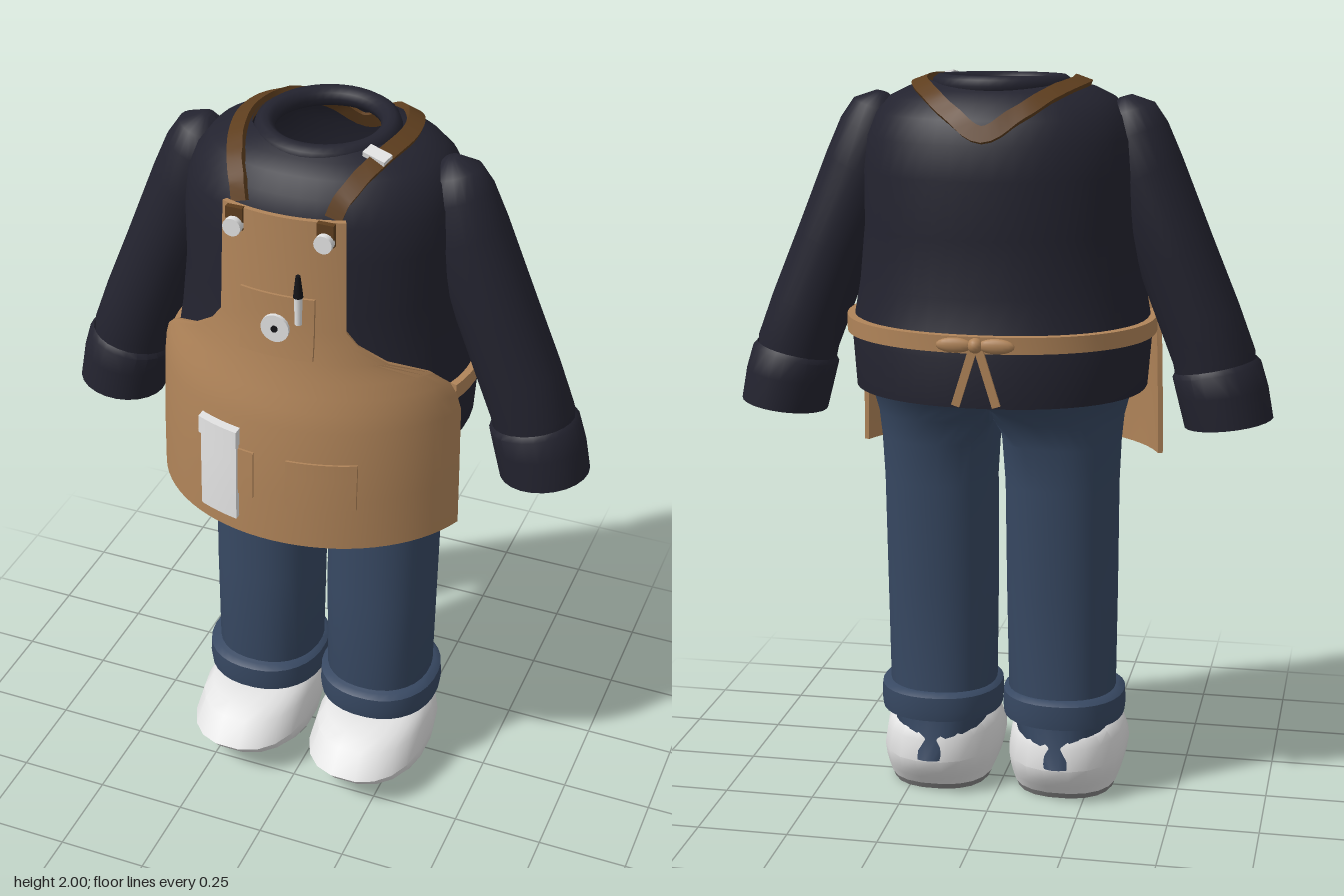
import * as THREE from 'three';
import { toCreasedNormals } from 'three/addons/utils/BufferGeometryUtils.js';

const mat = (name, color, side = THREE.FrontSide) => {
  const m = new THREE.MeshStandardMaterial({ color, side });
  m.name = name;
  return m;
};
const V = (x, y, z) => new THREE.Vector3(x, y, z);
const spow = (v, p) => Math.sign(v) * Math.abs(v) ** p;

// Skin a stack of closed rings; caps join opposite points of the end rings
function loft(rings, { cap0 = true, cap1 = true, crease = 0.7 } = {}) {
  const n = rings[0].length, last = (rings.length - 1) * n, idx = [];
  const pts = rings.flat();
  for (let r = 0; r < rings.length - 1; r++) {
    for (let j = 0; j < n; j++) {
      const k = (j + 1) % n, a = r * n, b = a + n;
      idx.push(a + j, b + j, a + k, a + k, b + j, b + k);
    }
  }
  for (let i = 0; i < n / 2 - 1; i++) {
    const q = [i, i + 1, n - 1 - i, i + 1, n - 2 - i, n - 1 - i];
    if (cap0) idx.push(...q);
    if (cap1) idx.push(...q.reverse().map(v => v + last));
  }
  // Turn the faces outward
  const mid = pts.reduce((s, p) => s.add(p), V(0, 0, 0)).divideScalar(pts.length);
  let volume = 0;
  for (let i = 0; i < idx.length; i += 3) {
    const [a, b, c] = [0, 1, 2].map(k => pts[idx[i + k]].clone().sub(mid));
    volume += a.dot(b.cross(c));
  }
  if (volume < 0) idx.reverse();
  const g = new THREE.BufferGeometry().setFromPoints(pts);
  g.setIndex(idx);
  return toCreasedNormals(g, crease);
}

// Horizontal superellipse ring from its x and z limits
function ring(y, x0, x1, zf, zb, n = 2.2, seg = 32) {
  return Array.from({ length: seg }, (_, i) => {
    const t = (i + 0.5) / seg * Math.PI * 2;
    return V((x0 + x1) / 2 + (x1 - x0) / 2 * spow(Math.cos(t), 2 / n), y,
      (zf + zb) / 2 + (zf - zb) / 2 * spow(Math.sin(t), 2 / n));
  });
}

// Interpolate a table whose first column is y
function sample(table, y) {
  let i = 0;
  while (i < table.length - 2 && table[i + 1][0] < y) i++;
  const f = (y - table[i][0]) / (table[i + 1][0] - table[i][0]);
  return table[i].map((v, k) => v + (table[i + 1][k] - v) * f);
}

// y, half width, front z, back z
const TORSO = [[1.17, 0.395, 0.32, -0.36], [1.3, 0.405, 0.325, -0.362], [1.36, 0.4, 0.315, -0.345],
  [1.45, 0.385, 0.3, -0.325], [1.6, 0.37, 0.287, -0.32], [1.75, 0.37, 0.285, -0.32],
  [1.84, 0.36, 0.272, -0.305], [1.9, 0.335, 0.25, -0.28], [1.94, 0.3, 0.215, -0.245],
  [1.965, 0.25, 0.175, -0.21], [1.982, 0.19, 0.14, -0.17]];
// y, half width of the cloth, ellipse half width, ellipse depth
const APRON = [[0.95, 0.427, 0.45, 0.383], [1.1, 0.425, 0.447, 0.381], [1.3, 0.42, 0.44, 0.368],
  [1.35, 0.41, 0.435, 0.358], [1.39, 0.395, 0.428, 0.348], [1.43, 0.36, 0.415, 0.338],
  [1.48, 0.27, 0.405, 0.328], [1.53, 0.2, 0.397, 0.32], [1.57, 0.17, 0.39, 0.316], [1.87, 0.163, 0.37, 0.302]];

function torsoF(x, y, z) {
  const [, a, zf, zb] = sample(TORSO, y);
  return Math.abs(x / a) ** 2.2 + Math.abs((z - (zf + zb) / 2) / ((zf - zb) / 2)) ** 2.2 - 1;
}
function torsoTop(x, z) {
  let lo = 1.7, hi = 1.982;
  for (let i = 0; i < 24; i++) {
    const m = (lo + hi) / 2;
    if (torsoF(x, m, z) < 0) lo = m; else hi = m;
  }
  return lo;
}
const apronZ = (x, y) => {
  const [, , a, b] = sample(APRON, y);
  return b * Math.sqrt(1 - (x / a) ** 2);
};

// Curved panel lying on the apron
function panel(x0, x1, y0, y1, thick) {
  const xs = Array.from({ length: 9 }, (_, i) => x0 + (x1 - x0) * i / 8);
  return loft([0, 1 / 3, 2 / 3, 1].map(f => {
    const y = y0 + (y1 - y0) * f;
    const row = d => xs.map(x => V(x, y, apronZ(x, y) + d));
    return [...row(thick), ...row(-0.004).reverse()];
  }));
}

export function createModel() {
  const group = new THREE.Group();
  const navy = mat('navy knit', 0x23232f, THREE.DoubleSide), denim = mat('blue denim', 0x374862);
  const tan = mat('tan canvas', 0xb08459), brown = mat('brown leather', 0x5e3e1e);
  const white = mat('white', 0xe2e2e2), grey = mat('grey rubber', 0x858585), black = mat('black', 0x131317);
  const add = (name, geo, m, x = 0, y = 0, z = 0) => {
    const mesh = new THREE.Mesh(geo, m);
    mesh.name = name;
    mesh.position.set(x, y, z);
    group.add(mesh);
    return mesh;
  };

  // Sweater body, open at neck and hem
  add('sweater', loft(TORSO.map(([y, a, zf, zb]) => ring(y, -a, a, zf, zb, 2.2, 48)),
    { cap0: false, cap1: false }), navy);
  const collar = add('collar', new THREE.TorusGeometry(0.16, 0.027, 10, 40), navy, 0, 1.972, -0.018);
  collar.rotation.x = Math.PI / 2 + 0.04;

  for (const s of [-1, 1]) {
    const side = s > 0 ? 'left' : 'right';

    // Sleeve rings span an inner and an outer point
    const cross = ([xi, yi, xo, yo, hw]) => Array.from({ length: 24 }, (_, i) => {
      const t = i / 24 * Math.PI * 2, f = (1 + Math.cos(t)) / 2;
      return V(s * (xi + (xo - xi) * f), yi + (yo - yi) * f, -0.015 + hw * Math.sin(t));
    });
    add(side + 'Sleeve', loft([[0.48, 1.17, 0.69, 1.2, 0.1], [0.465, 1.24, 0.685, 1.28, 0.105],
      [0.43, 1.33, 0.64, 1.4, 0.105], [0.365, 1.5, 0.565, 1.58, 0.105], [0.28, 1.7, 0.48, 1.79, 0.102],
      [0.26, 1.82, 0.44, 1.88, 0.088], [0.27, 1.89, 0.405, 1.93, 0.065],
      [0.31, 1.94, 0.345, 1.95, 0.02]].map(cross), { cap0: false }), navy);
    add(side + 'SleeveCuff', loft([[0.525, 1.1, 0.71, 1.13, 0.095], [0.515, 1.067, 0.722, 1.096, 0.105],
      [0.5, 1.066, 0.738, 1.098, 0.118], [0.478, 1.15, 0.722, 1.185, 0.118], [0.465, 1.2, 0.702, 1.25, 0.115],
      [0.472, 1.215, 0.69, 1.262, 0.104]].map(cross), { cap0: false, cap1: false }), navy);

    // Trouser leg; upper rings are cut flat on the centre line
    const leg = [[0.11, 0.1, 0.26, 0.1, -0.194], [0.17, 0.05, 0.3, 0.13, -0.172], [0.3, 0.02, 0.32, 0.145, -0.156],
      [0.6, 0.015, 0.323, 0.14, -0.165], [0.9, 0.013, 0.325, 0.125, -0.175], [1.02, 0.005, 0.33, 0.125, -0.185],
      [1.09, -0.06, 0.337, 0.14, -0.205], [1.14, -0.2, 0.35, 0.18, -0.245], [1.19, -0.34, 0.37, 0.24, -0.3],
      [1.26, -0.37, 0.375, 0.26, -0.32]];
    add(side + 'TrouserLeg', loft(leg.map(([y, ...r]) => ring(y, ...r)
      .map(p => V(s * Math.max(p.x, 0), p.y, p.z)))), denim);
    add(side + 'TrouserCuff', loft([[0.215, 0.025], [0.222, 0.003], [0.25, 0], [0.29, 0.002], [0.302, 0.018]]
      .map(([y, d]) => ring(y, 0.003 + d, 0.347 - d, 0.178 - d, -0.178 + d)
        .map(p => V(s * p.x, p.y, p.z)))), denim);

    // Shoe with a flat sole
    const shoe = ([y, hw, zf, zb]) => ring(y, s * 0.18 - hw, s * 0.18 + hw, zf, zb, 2.4, 20);
    add(side + 'Shoe', loft([[0.018, 0.145, 0.18, -0.135], [0.045, 0.156, 0.245, -0.155], [0.07, 0.162, 0.292, -0.175],
      [0.105, 0.167, 0.322, -0.188], [0.165, 0.156, 0.265, -0.175], [0.19, 0.14, 0.22, -0.165],
      [0.204, 0.115, 0.165, -0.145]].map(shoe), { crease: 0.6 }), white);
    add(side + 'Sole', loft([[0, 0.137, 0.165, -0.125], [0.02, 0.145, 0.18, -0.135]].map(shoe)), grey);

    // Bib fasteners
    const bx = s * 0.12, bz = apronZ(bx, 1.825);
    add(side + 'StrapTab', new THREE.BoxGeometry(0.045, 0.06, 0.016), brown, bx, 1.842, bz + 0.006);
    add(side + 'BibButton', new THREE.CylinderGeometry(0.024, 0.024, 0.022, 20).rotateX(Math.PI / 2),
      white, bx, 1.825, bz + 0.02);

    // Hip pocket
    add(side + 'HipPocket', panel(...(s > 0 ? [0.04, 0.22] : [-0.23, -0.05]), 1.075, 1.21, 0.006), tan);

    // Bow loop and tail
    const loop = add(side + 'BowLoop', new THREE.SphereGeometry(1, 16, 10), tan, s * 0.055, 1.342, -0.39);
    loop.scale.set(0.048, 0.02, 0.013);
    const tail = add(side + 'BowTail', new THREE.BoxGeometry(0.022, 0.16, 0.008), tan, s * 0.03, 1.258, -0.383);
    tail.rotation.z = s * 0.3;
  }
  add('bowKnot', new THREE.SphereGeometry(0.02, 14, 10), tan, 0, 1.342, -0.388);

  // Apron cloth
  add('apron', loft(APRON.map(([y, w, a, b]) => {
    const half = Math.asin(w / a);
    const row = d => Array.from({ length: 33 }, (_, i) => {
      const t = half * (i / 16 - 1);
      return V((a - d) * Math.sin(t), y, (b - d) * Math.cos(t));
    });
    return [...row(0), ...row(0.014).reverse()];
  })), tan);

  // Waist tie around the back
  add('waistTie', loft([1.318, 1.362].map(y => {
    const row = d => Array.from({ length: 41 }, (_, i) => {
      const t = -0.3 + (Math.PI + 0.6) * i / 40;
      return V((0.403 + d) * spow(Math.cos(t), 1 / 1.1), y, -0.018 - (0.342 + d) * spow(Math.sin(t), 1 / 1.1));
    });
    return [...row(0.016), ...row(-0.008).reverse()];
  })), tan);

  // Neck strap running over the shoulders and round the back
  const plan = [[0.122, 0.25], [0.155, 0.195], [0.192, 0.1], [0.212, -0.02], [0.187, -0.14], [0.105, -0.25]];
  const curve = new THREE.CatmullRomCurve3([...plan.map(([x, z]) => V(x, 0, z)), V(0, 0, -0.295),
    ...[...plan].reverse().map(([x, z]) => V(-x, 0, z))]);
  const path = curve.getPoints(72).map(p => V(p.x, torsoTop(p.x, p.z), p.z));
  add('neckStrap', loft(path.map((p, i) => {
    const dir = path[Math.min(i + 1, 72)].clone().sub(path[Math.max(i - 1, 0)]);
    const e = 0.01, f = torsoF(p.x, p.y, p.z);
    const normal = V(torsoF(p.x + e, p.y, p.z) - f, f - torsoF(p.x, p.y - e, p.z),
      torsoF(p.x, p.y, p.z + e) - f);
    normal.y = Math.abs(normal.y);
    normal.normalize();
    const across = dir.cross(normal).normalize();
    const at = (w, h) => p.clone().addScaledVector(across, w).addScaledVector(normal, h);
    return [at(-0.022, 0.014), at(0.022, 0.014), at(0.022, -0.01), at(-0.022, -0.01)];
  })), brown);
  const buckle = add('strapBuckle', new THREE.BoxGeometry(0.064, 0.014, 0.036), white,
    0.182, torsoTop(0.182, 0.115) + 0.014, 0.115);
  buckle.rotation.set(0.2, -0.25, -0.15);

  // Chest pocket with badge and pen
  add('chestPocket', panel(-0.105, 0.095, 1.49, 1.66, 0.007), tan);
  const disc = (r, h) => new THREE.CylinderGeometry(r, r, h, 20).rotateX(Math.PI / 2);
  add('badge', disc(0.038, 0.01), white, -0.004, 1.57, 0.326);
  add('badgeCentre', disc(0.009, 0.006), black, -0.004, 1.57, 0.332);
  add('penBody', new THREE.CylinderGeometry(0.011, 0.009, 0.085, 12), white, 0.062, 1.642, 0.334);
  add('penCap', new THREE.CylinderGeometry(0.006, 0.013, 0.06, 12), black, 0.062, 1.707, 0.334);

  // Folded cloth hanging at the hip
  add('hipCloth', panel(-0.21, -0.095, 1.0, 1.26, 0.018), white);
  add('hipClothFold', panel(-0.214, -0.092, 1.222, 1.27, 0.026), white);

  return group;
}
